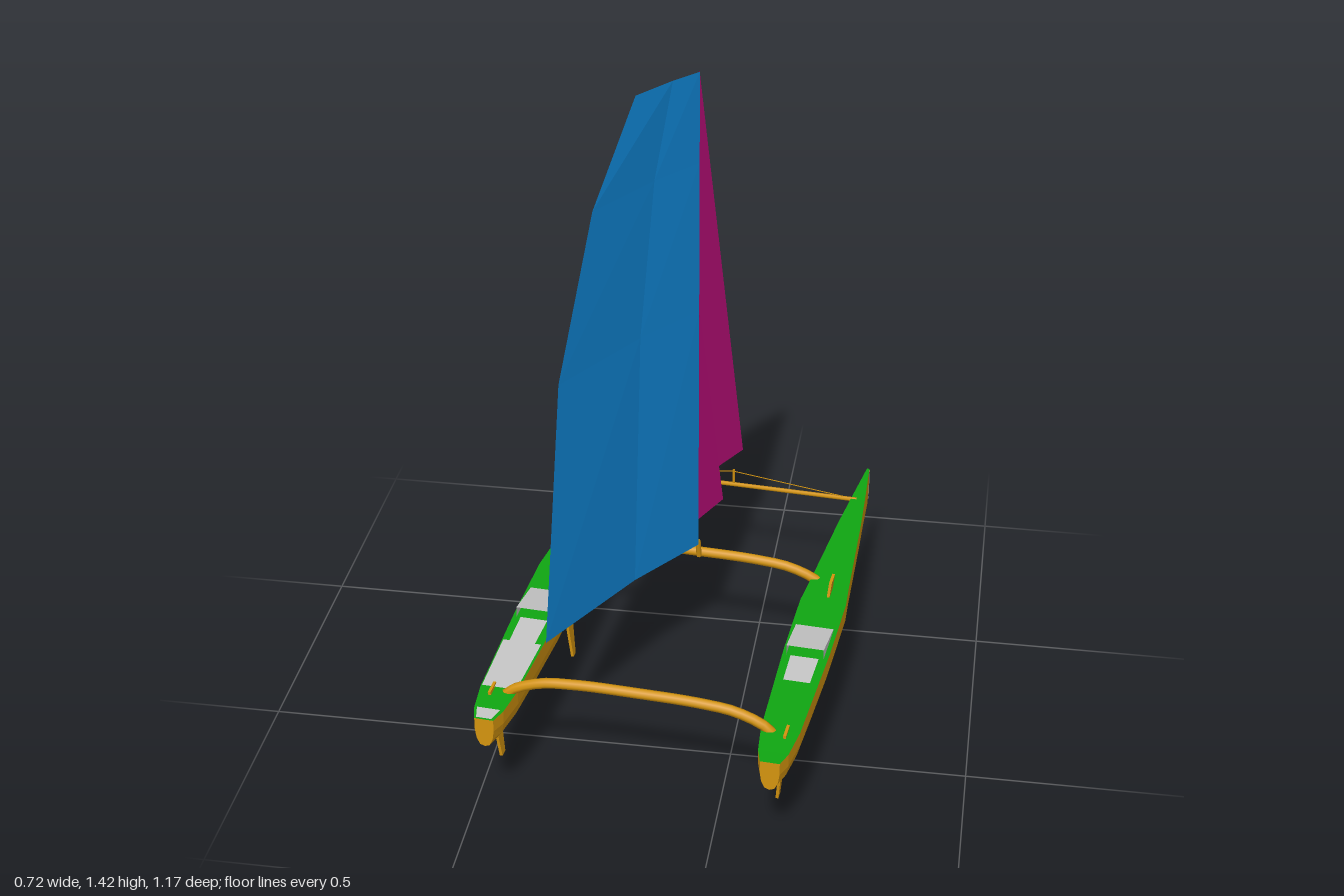
import * as THREE from 'three';

const mat = (name, color) => new THREE.MeshStandardMaterial({ name, color, side: THREE.DoubleSide });

// Flat-shaded sheet through rows of points of equal length
function loft(rows) {
  const n = rows[0].length, index = [];
  for (let i = 0; i < rows.length - 1; i++) {
    for (let j = 0; j < n - 1; j++) {
      const a = i * n + j, b = a + n;
      index.push(a, b, a + 1, a + 1, b, b + 1);
    }
  }
  const g = new THREE.BufferGeometry();
  g.setAttribute('position', new THREE.Float32BufferAttribute(rows.flat(2), 3));
  g.setIndex(index);
  const flat = g.toNonIndexed();
  flat.computeVertexNormals();
  return flat;
}

// Hull stations: z, half width, keel height, deck height
const STATIONS = [
  [-0.494, 0.003, 0.172, 0.275],
  [-0.37, 0.015, 0.17, 0.273],
  [-0.25, 0.026, 0.168, 0.271],
  [0.0, 0.044, 0.166, 0.266],
  [0.07, 0.05, 0.165, 0.265],
  [0.25, 0.049, 0.165, 0.26],
  [0.4, 0.044, 0.167, 0.256],
  [0.52, 0.04, 0.173, 0.253],
  [0.59, 0.031, 0.178, 0.25],
  [0.623, 0.02, 0.182, 0.249],
];

// Interpolated [half width, keel, deck] at any z
function station(z) {
  let i = 0;
  while (i < STATIONS.length - 2 && z > STATIONS[i + 1][0]) i++;
  const a = STATIONS[i], b = STATIONS[i + 1], t = (z - a[0]) / (b[0] - a[0]);
  return [1, 2, 3].map(k => a[k] + (b[k] - a[k]) * t);
}

// U-shaped section from one deck edge round the keel to the other
const SECTION = [[1, 1], [1, 0.6], [0.85, 0.28], [0.5, 0.06], [0, 0], [-0.5, 0.06], [-0.85, 0.28], [-1, 0.6], [-1, 1]];
const section = ([z, hw, lo, hi]) => SECTION.map(([u, v]) => [u * hw, lo + (hi - lo) * v, z]);

// Strip lying on the deck; rise(z) lifts it
function deckStrip(zs, width, rise) {
  return loft(zs.map(z => {
    const [hw, , top] = station(z), y = top + rise(z);
    return [[-hw * width, y, z], [hw * width, y, z]];
  }));
}

// Tapered thin blade, outline in (z, y)
function blade(points) {
  const shape = new THREE.Shape(points.map(([z, y]) => new THREE.Vector2(-z, y)));
  const g = new THREE.ExtrudeGeometry(shape, { depth: 0.006, bevelEnabled: false });
  g.translate(0, 0, -0.003);
  return g.rotateY(Math.PI / 2);
}

function tube(points, radius, sides = 8, segments = 28) {
  const curve = new THREE.CatmullRomCurve3(points.map(p => new THREE.Vector3(...p)));
  return new THREE.TubeGeometry(curve, segments, radius, sides);
}

export function createModel() {
  const wood = mat('varnished orange', 0xd4940f);
  const green = mat('deck green', 0x10a512);
  const grey = mat('cabin grey', 0xc6c6c6);
  const blue = mat('mainsail blue', 0x0f80cc);
  const pink = mat('headsail magenta', 0xc50f80);

  const model = new THREE.Group();
  model.name = 'catamaran';
  const add = (parent, name, geometry, material) => {
    const mesh = new THREE.Mesh(geometry, material);
    mesh.name = name;
    parent.add(mesh);
    return mesh;
  };

  // Hulls and beams sit in a platform turned slightly off the axis
  const platform = new THREE.Group();
  platform.name = 'platform';
  platform.position.set(-0.62, 0, 0.17);
  platform.rotation.y = -0.089;
  model.add(platform);

  for (const side of [-1, 1]) {
    const hull = new THREE.Group();
    hull.name = side < 0 ? 'rightHull' : 'leftHull';
    hull.position.x = side * 0.295;
    platform.add(hull);

    add(hull, 'hullShell', loft(STATIONS.map(section)), wood);
    add(hull, 'deck', deckStrip(STATIONS.map(s => s[0]), 1, () => 0), green);

    // Transom and bow closures
    for (const [name, s] of [['bowPlate', STATIONS[0]], ['transom', STATIONS.at(-1)]]) {
      const ring = section(s);
      const halves = [0, 1, 2, 3, 4].map(i => [ring[i], ring[8 - i]]);
      add(hull, name, loft(halves), name === 'bowPlate' && side > 0 ? grey : wood);
    }
    if (side > 0) {
      const trim = [-0.494, -0.475].map(z => {
        const [hw, lo, hi] = station(z);
        return [[hw + 0.001, lo + 0.03, z], [hw + 0.001, hi, z]];
      });
      add(hull, 'bowTrim', loft(trim), grey);
    }

    // Cabin wedge rising aft, with its closed back and sides
    const wedge = z => 0.003 + (z - 0.165) * 0.2;
    add(hull, 'cabinRoof', deckStrip([0.165, 0.22, 0.272], 0.82, wedge), grey);
    add(hull, 'cabinSides', loft([0.165, 0.272].map(z => {
      const [hw, , top] = station(z);
      return [[-hw * 0.82, top, z], [-hw * 0.82, top + wedge(z), z]];
    })), grey);
    add(hull, 'cabinSides', loft([0.165, 0.272].map(z => {
      const [hw, , top] = station(z);
      return [[hw * 0.82, top, z], [hw * 0.82, top + wedge(z), z]];
    })), grey);
    add(hull, 'cockpitFloor', deckStrip([0.275, 0.36], 0.62, () => 0.003), grey);
    if (side < 0) {
      add(hull, 'aftDeckPanel', deckStrip([0.36, 0.4, 0.52], 0.92, () => 0.003), grey);
      add(hull, 'sternPanel', deckStrip([0.59, 0.622], 0.8, () => 0.003), grey);
    }

    // Canted daggerboard and rudder
    const board = add(hull, 'daggerboard', blade([
      [0.005, 0.3], [0.042, 0.3], [0.068, 0.17], [0.055, 0.015], [0.038, 0.015], [0.02, 0.17],
    ]), wood);
    board.rotation.z = side * -0.09;
    board.position.x = side * -0.017;
    const rudder = add(hull, 'rudder', blade([
      [0.507, 0.26], [0.545, 0.26], [0.542, 0.17], [0.532, 0.09], [0.513, 0.09], [0.508, 0.17],
    ]), wood);
    rudder.rotation.z = side * -0.09;
    rudder.position.x = side * -0.01;
  }

  // Arched crossbeams
  const arch = [[0.295, 0.2], [0.277, 0.248], [0.21, 0.282], [0.13, 0.292]];
  for (const [name, z] of [['mainCrossbeam', -0.021], ['rearCrossbeam', 0.523]]) {
    const path = [
      ...arch.map(([x, y]) => [-x, y, z]), [0, 0.294, z],
      ...[...arch].reverse().map(([x, y]) => [x, y, z]),
    ];
    add(platform, name, tube(path, 0.011), wood);
  }

  // Slim forward beam with a braced post
  add(platform, 'frontCrossbeam', tube([[-0.292, 0.27, -0.358], [0.292, 0.27, -0.358]], 0.005, 6, 1), wood);
  add(platform, 'forestayPost', tube([[0, 0.27, -0.358], [0, 0.31, -0.358]], 0.003, 5, 1), wood);
  for (const s of [-1, 1]) {
    add(platform, 'postStay', tube([[s * 0.28, 0.272, -0.358], [0, 0.305, -0.358]], 0.0013, 4, 1), wood);
  }
  add(platform, 'mastFoot', tube([[0, 0.29, -0.01], [0, 0.335, 0]], 0.006, 6, 1), wood);

  // Mainsail: rows of luff, draft and leech
  const leech = [[-0.87, 0.34, 0.61], [-0.842, 0.91, 0.545], [-0.787, 1.24, 0.445], [-0.722, 1.433, 0.322]];
  const mainRows = leech.map(([x, y, z], i) => {
    const ly = [0.33, 0.905, 1.238, 1.433][i], b = [0.014, 0.012, 0.009, 0.004][i];
    const luff = [-0.618, ly, 0.178];
    const draft = [-0.618 + (x + 0.618) * 0.4 - 0.86 * b, ly + (y - ly) * 0.4, 0.178 + (z - 0.178) * 0.4 - 0.5 * b];
    return [luff, draft, [x, y, z]];
  });
  add(model, 'mainsail', loft(mainRows), blue);

  // Headsails: folded triangles of tack, draft and clew below the head
  const headsail = (name, head, foot) => add(model, name, loft([foot, foot.map(() => head)]), pink);
  headsail('jib', [-0.62, 1.435, 0.171], [[-0.578, 0.315, -0.272], [-0.743, 0.315, 0.03], [-0.77, 0.315, 0.278]]);
  headsail('staysail', [-0.618, 0.9, 0.171], [[-0.597, 0.3, -0.068], [-0.67, 0.285, 0.06], [-0.69, 0.276, 0.155]]);

  return model;
}
